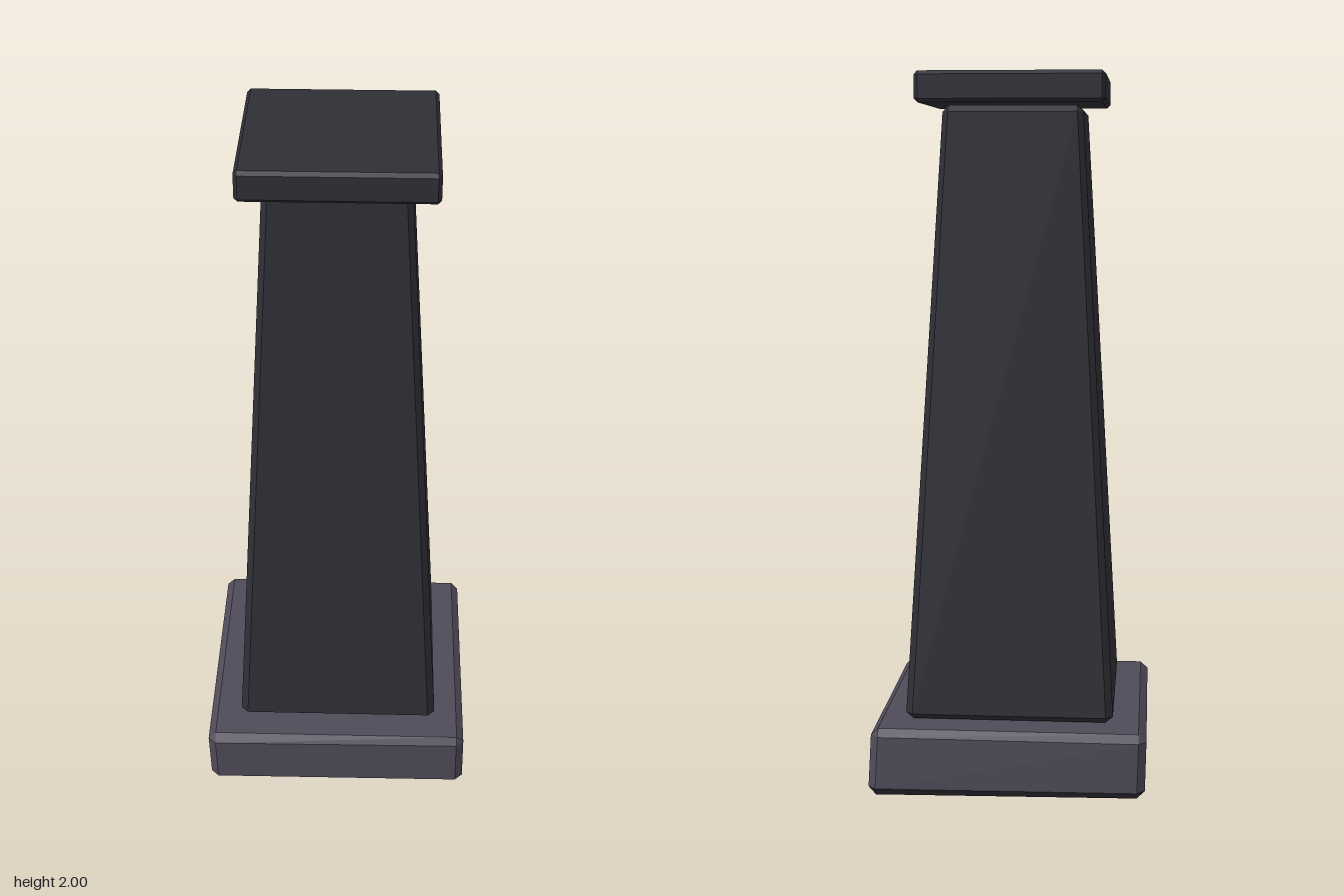
import * as THREE from 'three';

// Signs of the four corners, counter-clockwise seen from above
const SIGNS = [[1, 1], [1, -1], [-1, -1], [-1, 1]];

// Four corners [x, y, z] of a square with half width h, shifted sideways by [dx, dz]
const square = (h, y, dx = 0, dz = 0) => SIGNS.map(([x, z]) => [x * h + dx, y, z * h + dz]);

// Turns four corners into an eight-point ring with each corner cut off
function cutCorners(corners, cut) {
  const points = corners.map((c) => new THREE.Vector3(...c));
  return points.flatMap((p, i) => [points[(i + 3) % 4], points[(i + 1) % 4]].map(
    (q) => p.clone().addScaledVector(q.clone().sub(p).normalize(), cut)));
}

// Bevelled block from stacked rings; group 0 is the underside and lower bevel, group 1 the rest
function bevelledBlock(rings) {
  const positions = [];
  const tri = (a, b, c) => {
    const area = b.clone().sub(a).cross(c.clone().sub(a)).length();
    if (area > 1e-9) positions.push(...a.toArray(), ...b.toArray(), ...c.toArray());
  };
  const bottom = rings[0], top = rings[rings.length - 1];
  for (let i = 1; i < 7; i++) tri(bottom[0], bottom[i + 1], bottom[i]);
  let lowerCount = 0;
  for (let r = 0; r < rings.length - 1; r++) {
    for (let i = 0; i < 8; i++) {
      const j = (i + 1) % 8;
      tri(rings[r][i], rings[r][j], rings[r + 1][j]);
      tri(rings[r][i], rings[r + 1][j], rings[r + 1][i]);
    }
    if (r === 0) lowerCount = positions.length / 3;
  }
  for (let i = 1; i < 7; i++) tri(top[0], top[i], top[i + 1]);
  const geometry = new THREE.BufferGeometry();
  geometry.setAttribute('position', new THREE.Float32BufferAttribute(positions, 3));
  geometry.addGroup(0, lowerCount, 0);
  geometry.addGroup(lowerCount, positions.length / 3 - lowerCount, 1);
  geometry.computeVertexNormals();
  return geometry;
}

export function createModel() {
  const darkStone = new THREE.MeshStandardMaterial({ name: 'dark stone', color: 0x2e2e36 });
  const plinthStone = new THREE.MeshStandardMaterial({ name: 'plinth stone', color: 0x4f4a58 });
  const model = new THREE.Group();
  model.name = 'pillar';

  const add = (name, rings, material) => {
    const mesh = new THREE.Mesh(bevelledBlock(rings), material);
    mesh.name = name;
    model.add(mesh);
  };

  // Plinth: slightly uneven hewn block, its back left corner kicks out at the foot
  add('plinth', [
    cutCorners([[0.36, 0.007, 0.357], [0.367, 0, -0.367], [-0.362, 0.007, -0.362], [-0.362, 0.01, 0.362]], 0),
    cutCorners([[0.382, 0.029, 0.379], [0.388, 0.024, -0.39], [-0.385, 0.029, -0.384], [-0.384, 0.03, 0.384]], 0.022),
    cutCorners([[0.381, 0.17, 0.379], [0.381, 0.17, -0.381], [-0.388, 0.17, -0.385], [-0.388, 0.17, 0.387]], 0.022),
    cutCorners(square(0.363, 0.191, -0.003), 0),
  ], [darkStone, plinthStone]);

  // Shaft: tall tapering block with chamfered edges
  add('shaft', [
    cutCorners(square(0.272, 0.194), 0),
    cutCorners(square(0.293, 0.212), 0.02),
    cutCorners(square(0.194, 1.892, -0.003, 0.003), 0.016),
    cutCorners(square(0.177, 1.91, -0.003, 0.003), 0),
  ], [darkStone, darkStone]);

  // Cap: flat slab with fine bevels
  add('cap', [
    cutCorners(square(0.25, 1.915), 0),
    cutCorners(square(0.26, 1.925), 0.01),
    cutCorners(square(0.26, 1.99), 0.01),
    cutCorners(square(0.25, 2), 0),
  ], [darkStone, darkStone]);

  return model;
}
